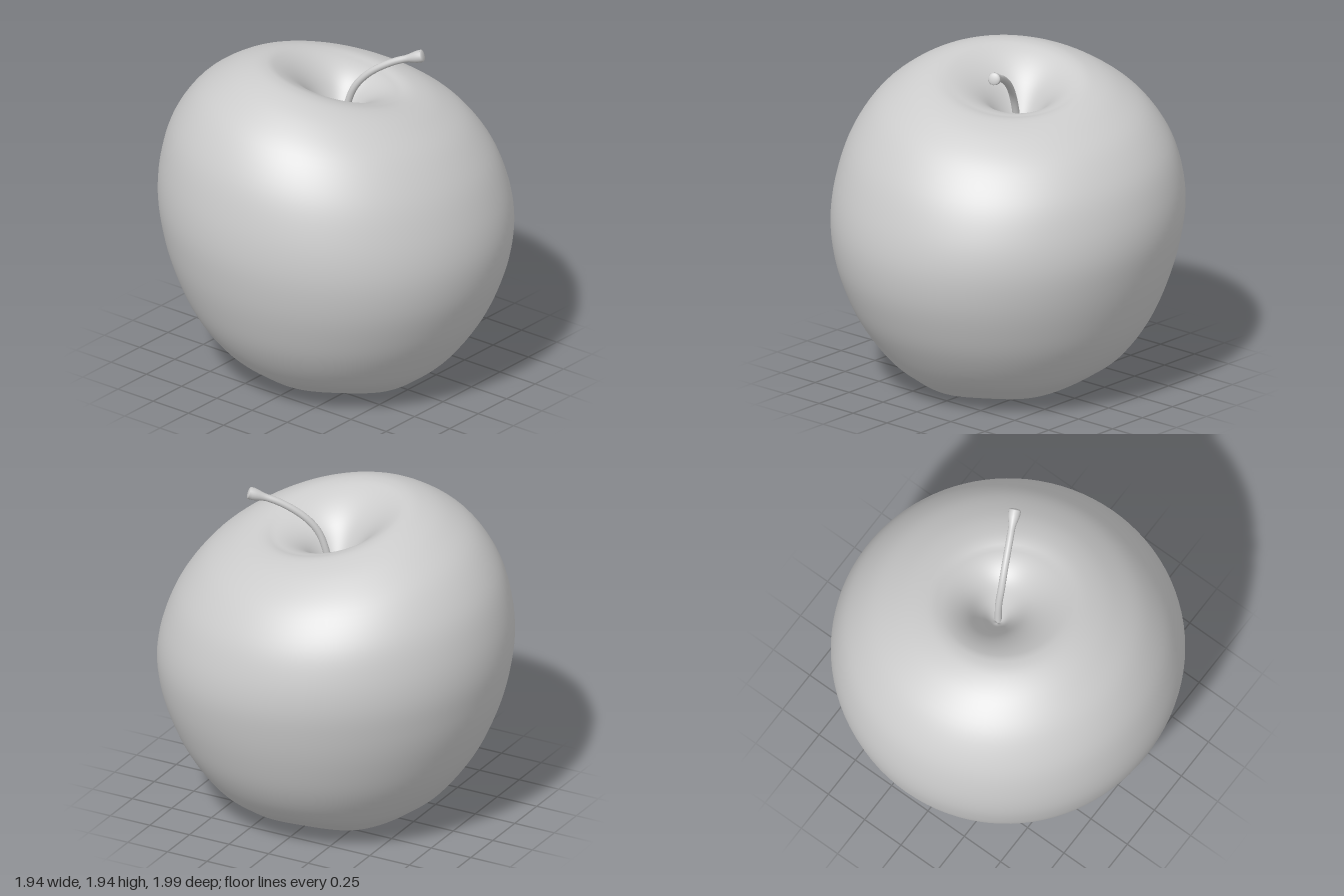
import * as THREE from 'three';
import { mergeVertices } from 'three/addons/utils/BufferGeometryUtils.js';

const material = new THREE.MeshStandardMaterial({ color: 0xcccccc, side: THREE.DoubleSide });
const { smoothstep, clamp, lerp } = THREE.MathUtils;
const v3 = (p) => new THREE.Vector3(...p);

function part(name, geometry) {
  const mesh = new THREE.Mesh(geometry, material);
  mesh.name = name;
  return mesh;
}

// Join the seam so that the normals run smoothly around
function smooth(geometry) {
  geometry.deleteAttribute('uv');
  geometry.deleteAttribute('normal');
  const merged = mergeVertices(geometry, 1e-5);
  merged.computeVertexNormals();
  return merged;
}

// Fruit: a turned profile, tilted at the shoulders and gently lobed at the base
function makeBody() {
  const profile = new THREE.SplineCurve([
    [0, 0.14], [0.06, 0.13], [0.13, 0.08], [0.22, 0.025], [0.32, 0.008], [0.45, 0.03],
    [0.56, 0.1], [0.67, 0.2], [0.805, 0.4], [0.89, 0.6], [0.945, 0.8], [0.97, 1.0],
    [0.95, 1.2], [0.885, 1.4], [0.76, 1.58], [0.6, 1.7], [0.46, 1.755], [0.36, 1.755],
    [0.26, 1.715], [0.17, 1.64], [0.09, 1.52], [0.035, 1.42], [0, 1.4],
  ].map(([x, y]) => new THREE.Vector2(x, y)));
  const points = profile.getPoints(110);
  points.forEach((p) => { p.x = Math.max(p.x, 0); });
  points[0].x = points[110].x = 0;

  const geometry = new THREE.LatheGeometry(points, 96);
  const pos = geometry.attributes.position;
  for (let i = 0; i < pos.count; i++) {
    const x = pos.getX(i), y = pos.getY(i), z = pos.getZ(i);
    const r = Math.hypot(x, z), angle = Math.atan2(z, x);
    const c = Math.cos(angle), s = Math.sin(angle);
    const high = smoothstep(y, 0.7, 1.75), low = 1 - smoothstep(y, 0, 0.8);
    const rim = clamp(r / 0.36, 0, 1);

    // Shoulders lean to the front left, the base sits a little forward
    const k = 1 + s * (0.04 * low - 0.05 * high) + 0.03 * s * s * (1 - low) * (1 - high);
    let newY = y - high * rim * (0.075 * c + 0.06 * s);
    // The widest line runs higher at the back
    newY -= 0.05 * s * smoothstep(y, 0.3, 0.9) * (1 - high);
    // Base lobes
    const foot = (1 - smoothstep(y, 0.02, 0.35)) * smoothstep(r, 0.05, 0.3);
    newY += foot * (0.012 * (1 + Math.cos(2 * angle)) + 0.007 * (1 + Math.cos(5 * angle + 0.6)));
    // The stem hollow is off centre
    const hollow = smoothstep(y, 1.2, 1.4) * (1 - smoothstep(r, 0.05, 0.5));
    pos.setXYZ(i, x * k + 0.05 * hollow, Math.max(newY, 0), z * k - 0.04 * hollow);
  }
  return part('fruitBody', smooth(geometry));
}

// Stem: a bent tube that widens towards its cut end
function makeStem() {
  const group = new THREE.Group();
  group.name = 'stem';
  const path = new THREE.CatmullRomCurve3([
    [0.06, 1.38, -0.02], [0.075, 1.56, 0.005], [0.09, 1.69, 0.05], [0.122, 1.78, 0.12],
    [0.183, 1.868, 0.25], [0.255, 1.92, 0.395],
  ].map(v3));
  const rings = 40, sides = 16;
  const radius = (t) => 0.02 + 0.015 * smoothstep(t, 0.87, 0.98);
  const geometry = new THREE.TubeGeometry(path, rings, 1, sides);
  const pos = geometry.attributes.position, p = new THREE.Vector3();
  for (let i = 0; i < pos.count; i++) {
    const t = Math.floor(i / (sides + 1)) / rings;
    const centre = path.getPointAt(t);
    p.fromBufferAttribute(pos, i).sub(centre).multiplyScalar(radius(t)).add(centre);
    pos.setXYZ(i, p.x, p.y, p.z);
  }
  group.add(part('stemShaft', smooth(geometry)));

  // Slightly domed cut end
  const end = part('stemEnd', new THREE.SphereGeometry(0.035, 16, 6, 0, Math.PI * 2, 0, Math.PI / 2));
  end.scale.y = 0.3;
  end.position.copy(path.getPointAt(1));
  end.quaternion.setFromUnitVectors(new THREE.Vector3(0, 1, 0), path.getTangentAt(1));
  group.add(end);
  return group;
}

// Dried blossom under the fruit: a small cup ringed by curled sepals
function makeBlossom() {
  const group = new THREE.Group();
  group.name = 'blossomEnd';
  const cup = new THREE.LatheGeometry([
    [0.03, 0.15], [0.034, 0.1], [0.048, 0.05], [0.042, 0.046], [0.028, 0.08], [0, 0.09],
  ].map(([x, y]) => new THREE.Vector2(x, y)), 20);
  group.add(part('blossomCup', cup));

  const count = 6;
  for (let n = 0; n < count; n++) {
    const sepal = new THREE.PlaneGeometry(1, 1, 2, 8);
    const pos = sepal.attributes.position;
    const reach = 0.135 + 0.015 * Math.cos(n * 2.4);
    for (let i = 0; i < pos.count; i++) {
      const t = pos.getY(i) + 0.5, side = pos.getX(i) * 2;
      const width = 0.024 * (1 - t ** 3) * (0.7 + 0.5 * Math.sin(Math.PI * t));
      const y = lerp(0.11, 0.02, Math.sin(t * Math.PI / 2)) + 0.008 * side * side;
      pos.setXYZ(i, lerp(0.03, reach, t), y, side * width);
    }
    sepal.computeVertexNormals();
    const mesh = part('sepal', sepal);
    mesh.rotation.y = Math.PI / 2 + (n * Math.PI * 2) / count;
    group.add(mesh);
  }
  return group;
}

export function createModel() {
  const model = new THREE.Group();
  model.name = 'apple';
  model.add(makeBody(), makeStem(), makeBlossom());
  return model;
}
